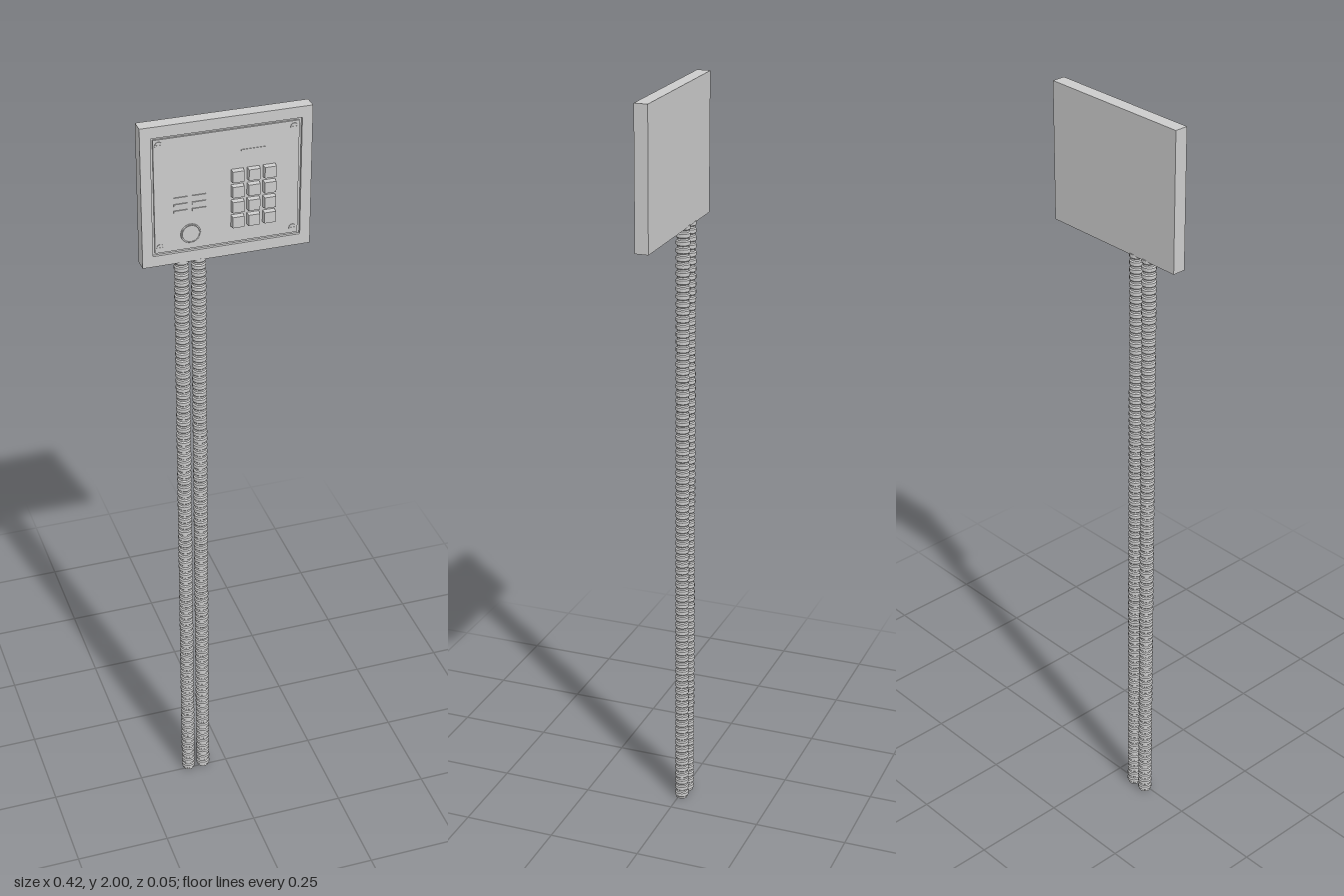
import * as THREE from 'three';

const mat = new THREE.MeshStandardMaterial({ color: 0xcccccc });
const flat = new THREE.MeshStandardMaterial({ color: 0xcccccc, flatShading: true });

function add(parent, name, geometry, x, y, z, material = mat) {
  const mesh = new THREE.Mesh(geometry, material);
  mesh.name = name;
  mesh.position.set(x, y, z);
  parent.add(mesh);
  return mesh;
}

// Disc or stud whose axis points along z
function disc(radius, depth, segments = 24) {
  return new THREE.CylinderGeometry(radius, radius, depth, segments).rotateX(Math.PI / 2);
}

// Ribbed flexible pipe standing on y = 0
function conduitGeometry(height, ribs, outer, inner) {
  const p = height / ribs;
  const pts = [new THREE.Vector2(0, 0)];
  for (let i = 0; i < ribs; i++) {
    const y = i * p;
    pts.push(
      new THREE.Vector2(inner, y),
      new THREE.Vector2(inner, y + p * 0.25),
      new THREE.Vector2(outer, y + p * 0.4),
      new THREE.Vector2(outer, y + p * 0.85)
    );
  }
  pts.push(new THREE.Vector2(inner, height), new THREE.Vector2(0, height));
  return new THREE.LatheGeometry(pts, 16);
}

export function createModel() {
  const model = new THREE.Group();
  model.name = 'intercomOnConduits';
  const midY = 1.82;

  // Housing: back box, raised rim and inset face plate with a groove between
  const housing = new THREE.Group();
  housing.name = 'housing';
  model.add(housing);
  add(housing, 'backBox', new THREE.BoxGeometry(0.42, 0.36, 0.028), 0, midY, -0.01);

  const rim = new THREE.Shape();
  rim.moveTo(-0.21, -0.18).lineTo(0.21, -0.18).lineTo(0.21, 0.18).lineTo(-0.21, 0.18).closePath();
  const hole = new THREE.Path();
  hole.moveTo(-0.184, -0.152).lineTo(-0.184, 0.152).lineTo(0.184, 0.152).lineTo(0.184, -0.152).closePath();
  rim.holes.push(hole);
  add(housing, 'rim', new THREE.ExtrudeGeometry(rim, { depth: 0.007, bevelEnabled: false }), 0, midY, 0.004);
  add(housing, 'facePlate', new THREE.BoxGeometry(0.356, 0.292, 0.006), 0, midY, 0.006);

  // Corner screws with a slot bar
  for (const x of [-0.165, 0.165]) {
    for (const y of [1.688, 1.952]) {
      add(housing, 'screw', disc(0.009, 0.002, 16), x, y, 0.0095);
      add(housing, 'screwSlot', new THREE.BoxGeometry(0.012, 0.002, 0.001), x, y, 0.0107);
    }
  }

  // Slim label strip above the keypad
  add(housing, 'labelStrip', new THREE.BoxGeometry(0.062, 0.004, 0.002), 0.066, 1.91, 0.0095);

  // Keypad: 3 x 4 slightly tapered square keys
  const keypad = new THREE.Group();
  keypad.name = 'keypad';
  model.add(keypad);
  const key = new THREE.CylinderGeometry(0.0198, 0.0215, 0.014, 4)
    .rotateY(Math.PI / 4)
    .rotateX(Math.PI / 2);
  for (let row = 0; row < 4; row++) {
    for (let col = 0; col < 3; col++) {
      add(keypad, 'key', key, 0.025 + col * 0.0395, 1.731 + row * 0.0395, 0.016, flat);
    }
  }

  // Speaker grille: two columns of three bars
  for (const x of [-0.114, -0.069]) {
    for (let i = 0; i < 3; i++) {
      add(model, 'speakerSlot', new THREE.BoxGeometry(0.034, 0.006, 0.003), x, 1.776 + i * 0.017, 0.0102);
    }
  }

  // Call button inside a thin ring
  add(model, 'buttonRing', new THREE.TorusGeometry(0.023, 0.002, 8, 32), -0.09, 1.714, 0.0095);
  add(model, 'callButton', disc(0.021, 0.003, 32), -0.09, 1.714, 0.0098);

  // Pair of ribbed conduits running down to the ground
  const pipe = conduitGeometry(1.645, 82, 0.0185, 0.0155);
  for (const x of [-0.109, -0.066]) add(model, 'conduit', pipe, x, 0, -0.0072, flat);

  return model;
}
